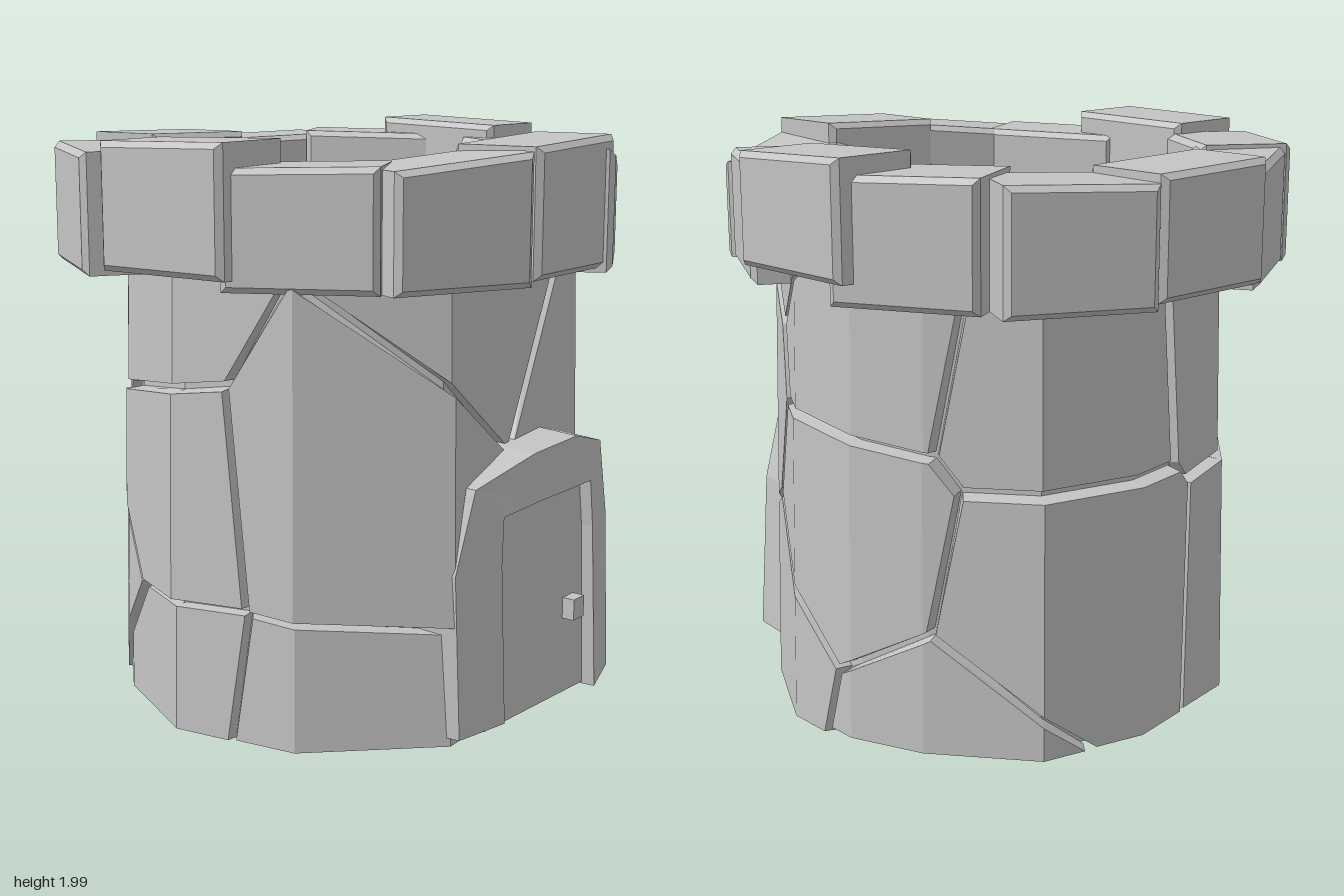
import * as THREE from 'three';

const stone = new THREE.MeshStandardMaterial({ color: 0xc4c4c4 });
stone.name = 'grey stone';

// uneven plan of the tower: corners (x, z) from the front left round past +x
const CORNERS = [
  [-0.46, 0.795], [0.4, 0.735], [0.66, 0.46], [0.84, 0.12], [0.84, -0.18], [0.74, -0.42],
  [0.5, -0.72], [0.15, -0.81], [-0.32, -0.74], [-0.68, -0.38], [-0.87, 0], [-0.8, 0.44],
];
const ARC = 0.85, PERIOD = 2 * Math.PI * ARC, TOP = 1.62, CORE_INSET = 0.07;
const planScale = (y) => 1.045 - 0.03 * y;

const ANGLES = [];
[...CORNERS, CORNERS[0]].forEach(([x, z], i) => {
  let a = Math.atan2(x, z);
  while (i > 0 && a < ANGLES[i - 1]) a += 2 * Math.PI;
  ANGLES.push(a);
});

// keep the part of a convex polygon where nx*x + ny*y <= c
function clip(poly, nx, ny, c) {
  const out = [];
  poly.forEach((p, i) => {
    const q = poly[(i + 1) % poly.length];
    const dp = nx * p[0] + ny * p[1] - c, dq = nx * q[0] + ny * q[1] - c;
    if (dp <= 0) out.push(p);
    if (dp * dq < 0) {
      const t = dp / (dp - dq);
      out.push([p[0] + (q[0] - p[0]) * t, p[1] + (q[1] - p[1]) * t]);
    }
  });
  return out;
}

// cell around one seed, pulled back from its neighbours to leave a joint
function cell(poly, seed, others, gap) {
  for (const o of others) {
    const dx = o[0] - seed[0], dy = o[1] - seed[1], d = Math.hypot(dx, dy);
    if (d < 1e-6) continue;
    const nx = dx / d, ny = dy / d;
    poly = clip(poly, nx, ny, nx * seed[0] + ny * seed[1] + d / 2 - gap);
  }
  return poly;
}

// face and sloping edges of one flat piece of stone
function addPiece(pos, piece, centre, map, depth, isSeam) {
  const top = piece.map((p) => map(p, 0));
  const low = piece.map((p) => map(
    [centre[0] + (p[0] - centre[0]) * 1.03, p[1] + (p[1] - centre[1]) * 0.02], -depth));
  for (let i = 0; i < piece.length; i++) {
    const j = (i + 1) % piece.length;
    if (i > 0 && j > 0) pos.push(...top[0], ...top[i], ...top[j]);
    if (isSeam(piece[i], piece[j])) continue;
    pos.push(...low[i], ...low[j], ...top[j], ...low[i], ...top[j], ...top[i]);
  }
}

function meshFrom(pos, name) {
  const g = new THREE.BufferGeometry();
  g.setAttribute('position', new THREE.Float32BufferAttribute(pos, 3));
  g.computeVertexNormals();
  const mesh = new THREE.Mesh(g, stone);
  mesh.name = name;
  return mesh;
}

const centroid = (poly) => [0, 1].map((k) => poly.reduce((s, p) => s + p[k], 0) / poly.length);

// lays an outline (distance round the wall, height) over the sides of the tower
function wallStone(poly, lift) {
  const pos = [], centre = centroid(poly);
  for (const turn of [-2 * Math.PI, 0]) {
    CORNERS.forEach((c0, i) => {
      const c1 = CORNERS[(i + 1) % CORNERS.length];
      const u0 = (ANGLES[i] + turn) * ARC, u1 = (ANGLES[i + 1] + turn) * ARC;
      const piece = clip(clip(poly, 1, 0, u1), -1, 0, -u0);
      if (piece.length < 3) return;
      const map = ([u, y], d) => {
        const t = (u - u0) / (u1 - u0), s = planScale(y) + lift + d;
        return [s * THREE.MathUtils.lerp(c0[0], c1[0], t), y, s * THREE.MathUtils.lerp(c0[1], c1[1], t)];
      };
      const on = (p, u) => Math.abs(p[0] - u) < 1e-5;
      addPiece(pos, piece, centre, map, CORE_INSET + lift,
        (p, q) => (on(p, u0) && on(q, u0)) || (on(p, u1) && on(q, u1)));
    });
  }
  return meshFrom(pos, 'wallStone');
}

// wall stones: angle from the front in degrees, height, lift, foot height
const WALL = [
  [-16, 1.55, -0.005, 0], [-47, 0.93, 0.025, 0.05], [36, 1.1, 0, 0], [-52, 0, -0.01, 0.05],
  [97, 0.7, 0, 0.02], [69, 0.22, 0, 0.01], [102, 1.46, -0.01, 0], [76, 1.88, -0.01, 0],
  [150, 0.55, 0.01, 0.05], [122, 0.02, 0, 0.04], [150, 1.32, -0.035, 0], [-135, 0.5, 0, 0.05],
  [-145, 1.4, -0.02, 0], [-108, 1.48, 0, 0], [-102, 0.85, 0.01, 0], [-100, 0.1, -0.02, 0.04],
];

function buildWall() {
  const group = new THREE.Group();
  group.name = 'wallStones';
  const seeds = WALL.map(([a, y]) => [THREE.MathUtils.degToRad(a) * ARC, y]);
  const all = [-1, 0, 1].flatMap((n) => seeds.map(([u, y]) => [u + n * PERIOD, y]));
  seeds.forEach((s, n) => {
    const [, , lift, foot] = WALL[n];
    const start = [[s[0] - 1.6, foot], [s[0] + 1.6, foot], [s[0] + 1.6, TOP], [s[0] - 1.6, TOP]];
    const poly = cell(start, s, all, 0.016);
    if (poly.length > 2) group.add(wallStone(poly, lift));
  });
  return group;
}

// solid core behind the joints
function buildCore() {
  const foot = 0.045, shape = new THREE.Shape(CORNERS.map(([x, z]) => new THREE.Vector2(x, -z)));
  const g = new THREE.ExtrudeGeometry(shape, { depth: 1.7 - foot, bevelEnabled: false });
  g.rotateX(-Math.PI / 2).translate(0, foot, 0);
  const p = g.attributes.position;
  for (let v = 0; v < p.count; v++) {
    const s = planScale(p.getY(v)) - CORE_INSET;
    p.setXYZ(v, p.getX(v) * s, p.getY(v), p.getZ(v) * s);
  }
  g.computeVertexNormals();
  const m = new THREE.Mesh(g, stone);
  m.name = 'core';
  return m;
}

// paving on the roof
function buildFloor() {
  const seeds = [[-0.2, 0.42], [0.4, 0.4], [0.3, -0.22], [-0.32, -0.12], [-0.08, -0.62], [0.72, 0.05]];
  const disc = Array.from({ length: 12 }, (_, i) => [0.73 * Math.cos(i * Math.PI / 6), 0.73 * Math.sin(i * Math.PI / 6)]);
  const pos = [];
  seeds.forEach((s, n) => {
    const poly = cell(disc, s, seeds, 0.01), y = 1.74 + 0.008 * (n % 3);
    addPiece(pos, poly, centroid(poly), ([x, w], d) => [x, y + d, -w], 0.05, () => false);
  });
  return meshFrom(pos, 'roofPaving');
}

// parapet blocks: angle, outer distance, sideways shift, low, high, slope of the top
const BLOCKS = [
  [1, 0.94, 0.03, 1.545, 1.975, 0.04], [27.6, 0.966, 0.013, 1.53, 1.905, -0.14],
  [62.3, 0.92, -0.035, 1.53, 1.93, 0.02], [92, 0.972, 0.01, 1.61, 1.99, 0.04],
  [119, 0.925, -0.025, 1.53, 1.945, 0.02], [153.4, 0.972, -0.035, 1.53, 1.93, -0.03],
  [180, 0.955, 0.02, 1.55, 1.955, 0.02], [210, 0.945, -0.02, 1.53, 1.93, 0.03],
  [236.6, 0.968, 0.024, 1.54, 1.945, -0.02], [272.5, 0.975, 0, 1.57, 1.985, 0.02],
  [298.2, 0.935, 0.03, 1.53, 1.915, 0.02], [335, 0.965, -0.06, 1.53, 1.93, 0.09],
];

function parapetBlock([angle, outer, shift, low, high, slope]) {
  const b = 0.02, depth = 0.325, w = 0.247 - b, h = (high - low) / 2 - b;
  const shape = new THREE.Shape([[-w, -h], [w, -h], [w, h], [-w, h]].map((p) => new THREE.Vector2(...p)));
  const g = new THREE.ExtrudeGeometry(shape, {
    depth: depth - 2 * b, bevelEnabled: true, bevelThickness: b, bevelSize: b, bevelSegments: 1 });
  const p = g.attributes.position;
  for (let v = 0; v < p.count; v++) {
    if (p.getY(v) > 0) p.setY(v, p.getY(v) + p.getX(v) * slope);
  }
  g.computeVertexNormals();
  g.translate(shift, (low + high) / 2, outer - depth + b);
  const m = new THREE.Mesh(g, stone);
  m.rotation.y = THREE.MathUtils.degToRad(angle);
  m.name = 'parapetBlock';
  return m;
}

// door surround: matching outer and inner points, swept as a four-sided section
function buildArch() {
  const stations = [
    [-0.48, 0.08, -0.29, 0.09], [-0.49, 0.63, -0.3, 0.63], [-0.41, 0.9, -0.29, 0.79], [-0.14, 0.975, -0.1, 0.81],
    [0.13, 0.985, 0.1, 0.81], [0.37, 0.92, 0.26, 0.8], [0.47, 0.63, 0.285, 0.63], [0.515, 0.04, 0.32, 0.03],
  ];
  const z = (x, y) => 0.942 - 0.36 * x * x - 0.025 * y;
  const rings = stations.map(([ox, oy, ix, iy]) => {
    const dx = (ix - ox) * 0.1, dy = (iy - oy) * 0.1;
    return [
      [ox, oy, z(ox, oy)], [ix, iy, z(ix, iy)],
      [ix + dx, iy + dy, 0.65], [ox - dx, oy - dy, 0.65],
    ];
  });
  const pos = [];
  const quad = (a, b, c, d) => pos.push(...a, ...b, ...c, ...a, ...c, ...d);
  for (let i = 0; i + 1 < rings.length; i++) {
    for (let k = 0; k < 4; k++) {
      const n = (k + 1) % 4;
      quad(rings[i][k], rings[i][n], rings[i + 1][n], rings[i + 1][k]);
    }
  }
  quad(...[...rings[0]].reverse());
  quad(...rings[rings.length - 1]);
  return meshFrom(pos, 'doorArch');
}

export function createModel() {
  const model = new THREE.Group();
  model.name = 'stoneTower';
  model.add(buildCore(), buildWall(), buildFloor());

  const parapet = new THREE.Group();
  parapet.name = 'parapet';
  parapet.add(...BLOCKS.map(parapetBlock));
  model.add(parapet);

  // doorway
  const leaf = new THREE.Shape([[-0.33, 0.06], [0.35, 0.035], [0.31, 0.84], [-0.33, 0.84]].map((p) => new THREE.Vector2(...p)));
  const door = new THREE.Mesh(new THREE.ExtrudeGeometry(leaf, { depth: 0.2, bevelEnabled: false }), stone);
  door.position.z = 0.655;
  door.name = 'door';
  const knob = new THREE.Mesh(new THREE.BoxGeometry(0.07, 0.075, 0.06), stone);
  knob.position.set(0.2, 0.355, 0.87);
  knob.name = 'doorKnob';
  model.add(buildArch(), door, knob);
  return model;
}
